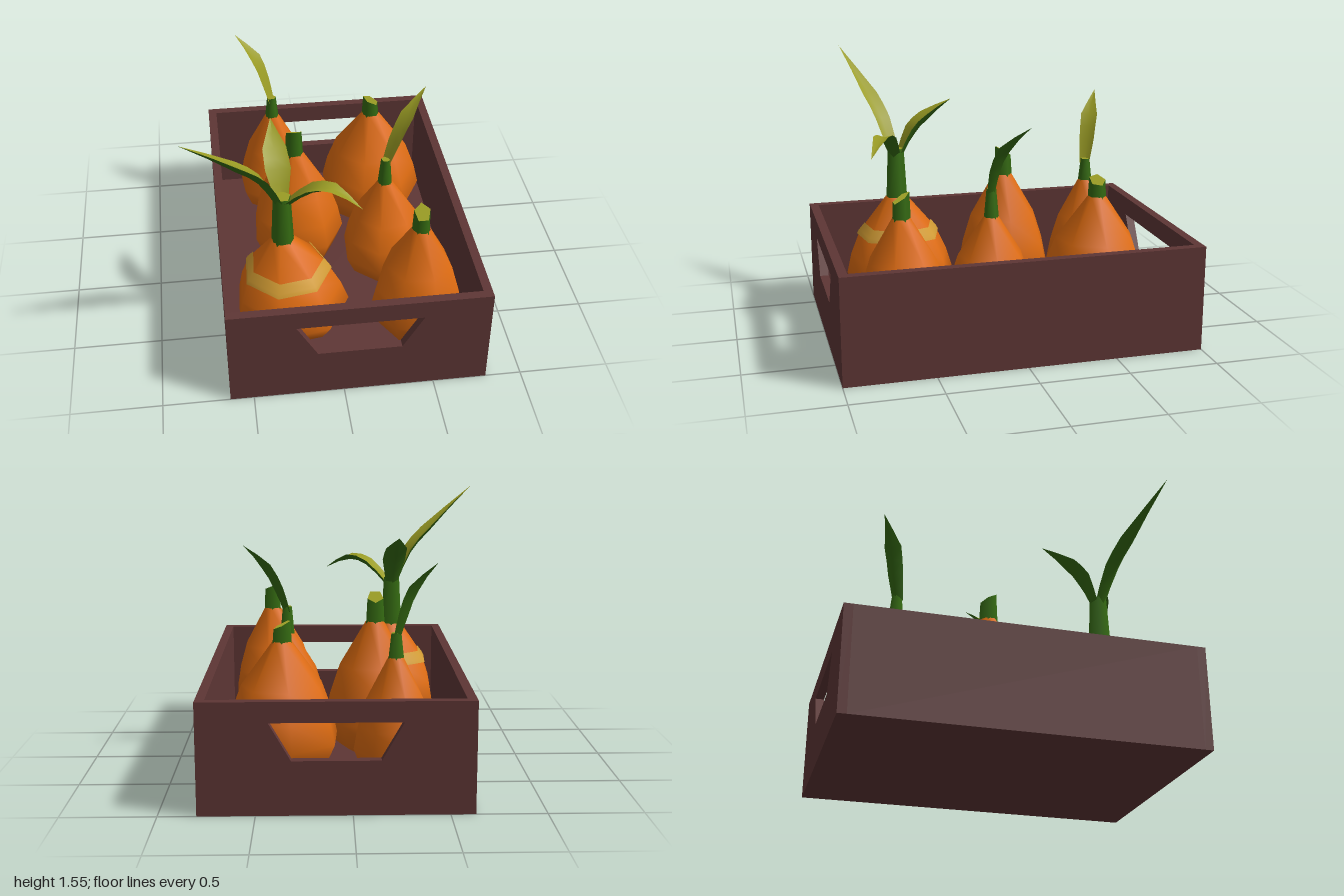
import * as THREE from 'three';

const mat = (name, color, side = THREE.FrontSide) => {
  const m = new THREE.MeshStandardMaterial({ color, side });
  m.name = name;
  return m;
};

export function createModel() {
  const wood = mat('darkWood', 0x5e3635);
  const orange = mat('orangeSkin', 0xdd6b10);
  const yellow = mat('yellowStripe', 0xd09a32);
  const green = mat('stemGreen', 0x356b12, THREE.DoubleSide);
  const olive = mat('leafOlive', 0x9a9c24, THREE.DoubleSide);

  const model = new THREE.Group();
  model.name = 'crateOfBulbs';
  const add = (parent, name, geometry, material, x = 0, y = 0, z = 0) => {
    const mesh = new THREE.Mesh(geometry, material);
    mesh.name = name;
    mesh.position.set(x, y, z);
    parent.add(mesh);
    return mesh;
  };

  // Crate: end walls with handle holes, plain sides and a floor
  const crate = new THREE.Group();
  crate.name = 'crate';
  model.add(crate);
  const x0 = -0.63, x1 = 0.8, cx = (x0 + x1) / 2, t = 0.05;
  const polygon = (pts, Type) => new Type(pts.map(p => new THREE.Vector2(...p)));
  const wall = polygon([[x0, 0], [x1, 0], [x1, 0.6], [x0, 0.6]], THREE.Shape);
  wall.holes.push(polygon([[-0.145, 0.29], [-0.26, 0.49], [0.43, 0.49], [0.315, 0.29]], THREE.Path));
  const wallGeo = new THREE.ExtrudeGeometry(wall, { depth: t, bevelEnabled: false });
  add(crate, 'frontWall', wallGeo, wood, 0, 0, 1 - t);
  add(crate, 'backWall', wallGeo, wood, 0, 0, -1);
  const sideGeo = new THREE.BoxGeometry(t, 0.6, 2 - 2 * t);
  add(crate, 'leftWall', sideGeo, wood, x1 - t / 2, 0.3, 0);
  add(crate, 'rightWall', sideGeo, wood, x0 + t / 2, 0.3, 0);
  add(crate, 'floor', new THREE.BoxGeometry(x1 - x0 - 2 * t, t, 2 - 2 * t), wood, cx, t / 2, 0);

  // Leaf: V-shaped sections along a path, olive inside and green keel outside
  const leaf = (parent, path, widths) => {
    const pts = path.map(p => new THREE.Vector3(...p));
    const curve = new THREE.CatmullRomCurve3(pts);
    const up = new THREE.Vector3(0, 1, 0);
    const side = pts[3].clone().sub(pts[0]).cross(up).normalize();
    const n = 6;
    const surface = depth => {
      const pos = [], index = [];
      for (let i = 0; i <= n; i++) {
        const u = i / n * 3, k = Math.min(2, Math.floor(u));
        const w = THREE.MathUtils.lerp(widths[k], widths[k + 1], u - k);
        const p = curve.getPoint(i / n);
        const normal = side.clone().cross(curve.getTangent(i / n)).normalize();
        for (const s of [-1, 0, 1]) {
          const v = p.clone().addScaledVector(side, s * w);
          if (s === 0) v.addScaledVector(normal, -w * depth);
          pos.push(v.x, v.y, v.z);
        }
        if (i < n) for (let j = 0; j < 2; j++) {
          const a = i * 3 + j;
          index.push(a, a + 1, a + 3, a + 1, a + 4, a + 3);
        }
      }
      const g = new THREE.BufferGeometry();
      g.setAttribute('position', new THREE.Float32BufferAttribute(pos, 3));
      g.setIndex(index);
      g.computeVertexNormals();
      return g;
    };
    add(parent, 'leafInside', surface(0.25), olive);
    add(parent, 'leafOutside', surface(0.75), green);
  };

  // Bulb: seven-sided body; stem with an optionally slanted cut top
  const bulb = ({ name, x, z, r, h, phase = 0.17, stem, top, tilt = [0, 0], sx = x, sz = z, leaves = [] }) => {
    const group = new THREE.Group();
    group.name = name;
    model.add(group);
    const profile = [[0, 0.05], [0.35 * r, 0.055], [0.8 * r, 0.13], [r, 0.33 * h], [0.9 * r, 0.5 * h],
      [0.71 * r, 0.7 * h], [stem[0] * 0.95, h]].map(p => new THREE.Vector2(...p));
    const body = new THREE.LatheGeometry(profile, 7, Math.PI + phase);
    // Lean the neck toward the stem
    const pos = body.attributes.position;
    for (let i = 0; i < pos.count; i++) {
      const k = Math.max(0, pos.getY(i) / h - 0.33) / 0.67;
      pos.setX(i, pos.getX(i) + (sx - x) * k);
      pos.setZ(i, pos.getZ(i) + (sz - z) * k);
    }
    add(group, 'body', body, orange, x, 0, z);

    const y0 = h - 0.02, len = top - y0;
    const stemGeo = new THREE.CylinderGeometry(stem[1], stem[0], len, 5, 1, false, Math.PI);
    const sp = stemGeo.attributes.position;
    for (let i = 0; i < sp.count; i++)
      if (sp.getY(i) > 0) sp.setY(i, sp.getY(i) + sp.getX(i) * tilt[0] + sp.getZ(i) * tilt[1]);
    add(group, 'stem', stemGeo, [green, olive, green], sx, y0 + len / 2, sz);
    leaves.forEach(l => leaf(group, l.path, l.widths));
    return group;
  };

  const striped = bulb({ name: 'stripedBulb', x: -0.24, z: 0.5, r: 0.33, h: 0.71, stem: [0.066, 0.05], top: 1.0, sx: -0.28, sz: 0.515,
    leaves: [
      { path: [[-0.29, 0.96, 0.52], [-0.38, 1.17, 0.57], [-0.5, 1.3, 0.625], [-0.8, 1.55, 0.765]], widths: [0.035, 0.05, 0.05, 0] },
      { path: [[-0.27, 0.96, 0.52], [-0.14, 1.1, 0.58], [-0.02, 1.13, 0.64], [0.125, 1.035, 0.72]], widths: [0.035, 0.05, 0.045, 0] },
      { path: [[-0.28, 0.96, 0.5], [-0.29, 1.12, 0.43], [-0.3, 1.2, 0.34], [-0.305, 1.28, 0.17]], widths: [0.035, 0.07, 0.065, 0] },
    ] });
  // Yellow band around the shoulder
  const band = [[0.253, 0.478], [0.241, 0.501], [0.206, 0.545]].map(p => new THREE.Vector2(...p));
  add(striped, 'stripe', new THREE.LatheGeometry(band, 7, Math.PI + 0.17), yellow, -0.262, 0, 0.508);

  bulb({ name: 'backLeftBulb', x: 0.37, z: -0.51, r: 0.32, h: 0.81, stem: [0.055, 0.048], top: 0.9, tilt: [-0.5, 0], sz: -0.52 });
  bulb({ name: 'middleRightBulb', x: -0.14, z: -0.12, r: 0.28, h: 0.84, stem: [0.056, 0.048], top: 0.98, tilt: [0, 0.6], sx: -0.15, sz: -0.11 });
  bulb({ name: 'frontLeftBulb', x: 0.46, z: 0.62, r: 0.265, h: 0.79, phase: -0.15, stem: [0.053, 0.047], top: 0.9, tilt: [0, -0.7], sx: 0.47 });
  bulb({ name: 'middleLeftBulb', x: 0.37, z: 0.1, r: 0.26, h: 0.73, stem: [0.045, 0.028], top: 0.89, sx: 0.36, sz: 0.095,
    leaves: [{ path: [[0.36, 0.86, 0.095], [0.405, 1.0, 0.085], [0.48, 1.15, 0.045], [0.605, 1.27, -0.06]], widths: [0.03, 0.045, 0.05, 0] }] });
  bulb({ name: 'backRightBulb', x: -0.235, z: -0.65, r: 0.225, h: 0.75, phase: 0.3, stem: [0.045, 0.028], top: 0.88, sz: -0.66,
    leaves: [{ path: [[-0.235, 0.85, -0.655], [-0.27, 1.0, -0.68], [-0.32, 1.14, -0.71], [-0.44, 1.27, -0.785]], widths: [0.03, 0.045, 0.05, 0] }] });

  return model;
}
